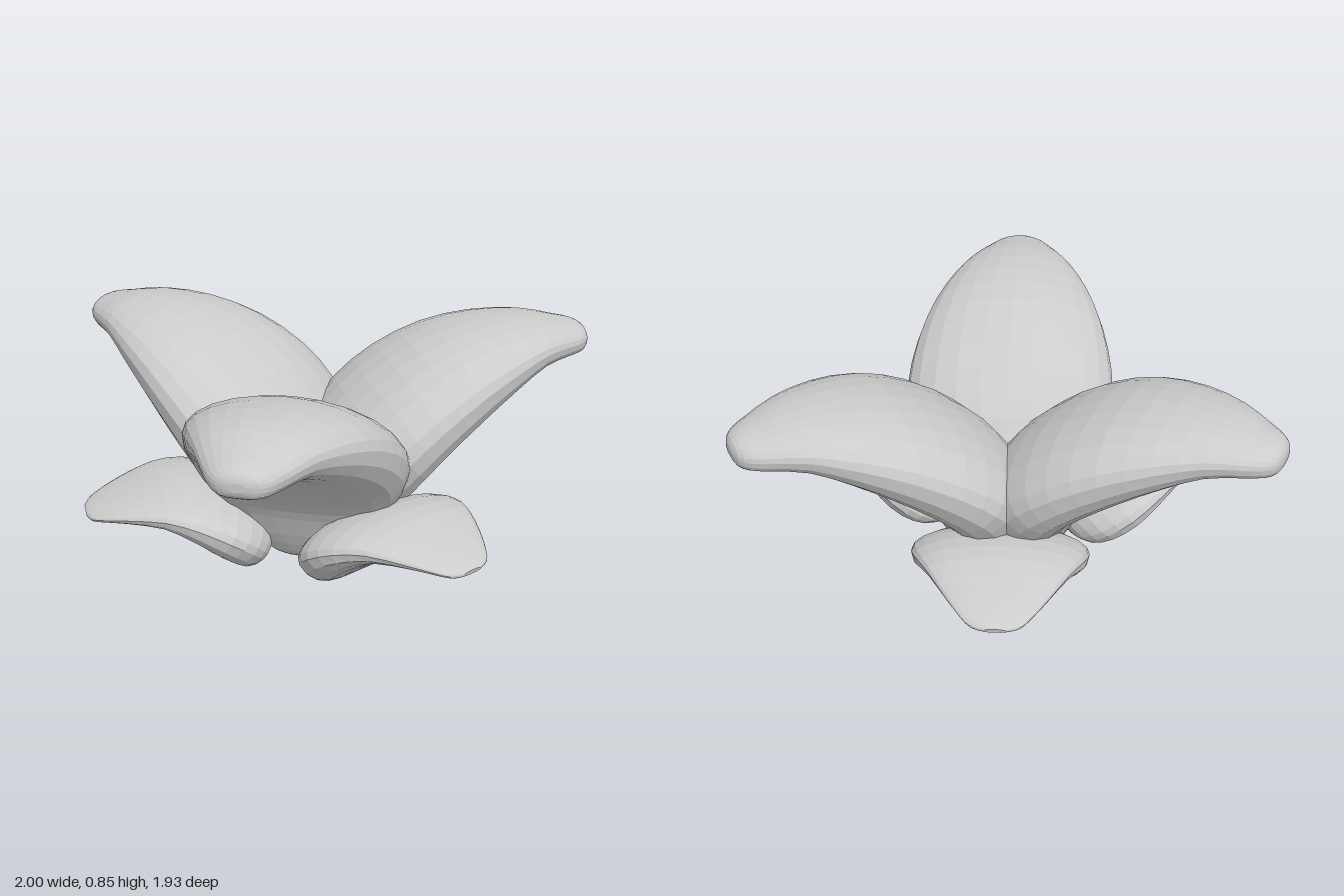
import * as THREE from 'three';

// Each station: [topR, topY, bottomR, bottomY, halfWidth], from the base to the tip
const PETAL = [
  [0.09, 0.025, 0.16, 0.018, 0.06],
  [0.05, 0.045, 0.2, 0.022, 0.13],
  [-0.01, 0.14, 0.24, 0.06, 0.2],
  [-0.02, 0.3, 0.29, 0.15, 0.3],
  [0.01, 0.46, 0.33, 0.24, 0.37],
  [0.13, 0.6, 0.38, 0.32, 0.41],
  [0.3, 0.725, 0.47, 0.41, 0.405],
  [0.5, 0.815, 0.6, 0.51, 0.365],
  [0.7, 0.852, 0.74, 0.6, 0.3],
  [0.88, 0.85, 0.88, 0.67, 0.22],
  [1.0, 0.825, 1.0, 0.685, 0.155],
  [1.065, 0.81, 1.065, 0.69, 0.115],
  [1.1, 0.79, 1.1, 0.705, 0.075],
  [1.112, 0.765, 1.112, 0.73, 0.03],
];
const SEPAL = [
  [0.23, 0.025, 0.25, 0.012, 0.06],
  [0.2, 0.05, 0.27, 0.004, 0.14],
  [0.18, 0.12, 0.31, 0.004, 0.23],
  [0.22, 0.2, 0.37, 0.045, 0.305],
  [0.32, 0.275, 0.45, 0.11, 0.34],
  [0.46, 0.325, 0.53, 0.17, 0.32],
  [0.6, 0.33, 0.62, 0.215, 0.265],
  [0.74, 0.295, 0.74, 0.225, 0.19],
  [0.83, 0.265, 0.825, 0.22, 0.13],
  [0.87, 0.248, 0.867, 0.215, 0.09],
  [0.888, 0.237, 0.885, 0.22, 0.04],
];

// Smooth loft of spoon-shaped cross-sections: domed above, flat or hollow below
function leafGeometry(stations, hollow, sides = 24) {
  const curve = (pick) => new THREE.CatmullRomCurve3(stations.map(pick), false, 'catmullrom', 0.5);
  const top = curve((s) => new THREE.Vector3(s[0], s[1], s[4]));
  const bottom = curve((s) => new THREE.Vector3(s[2], s[3], s[4]));
  const positions = [];
  const index = [];
  const steps = (stations.length - 1) * 2;
  const rows = steps + 2;
  for (let i = 0; i <= rows; i++) {
    const u = THREE.MathUtils.clamp((i - 1) / steps, 0, 1);
    const scale = i === 0 || i === rows ? 0 : 1; // collapsed rings close both ends
    const a = top.getPoint(u);
    const b = bottom.getPoint(u);
    for (let j = 0; j < sides; j++) {
      const angle = (j / sides) * Math.PI * 2;
      const s = Math.sin(angle);
      const v = scale * (s > 0 ? s : (s * (1 - hollow * s * s) * 0.97) / (1 - hollow));
      positions.push(
        (a.x + b.x) / 2 + ((a.x - b.x) / 2) * v,
        (a.y + b.y) / 2 + ((a.y - b.y) / 2) * v,
        scale * a.z * Math.cos(angle),
      );
    }
  }
  for (let i = 0; i < rows; i++) {
    for (let j = 0; j < sides; j++) {
      const k = (j + 1) % sides;
      const a = i * sides + j, b = a + sides;
      const c = i * sides + k, d = c + sides;
      index.push(a, b, c, c, b, d);
    }
  }
  const geometry = new THREE.BufferGeometry();
  geometry.setAttribute('position', new THREE.Float32BufferAttribute(positions, 3));
  geometry.setIndex(index);
  geometry.computeVertexNormals();
  return geometry;
}

export function createModel() {
  const model = new THREE.Group();
  model.name = 'flower';
  const material = new THREE.MeshStandardMaterial({ color: 0xcccccc, flatShading: true });

  // Leaves radiate from near the flower's centre: [degrees from +x towards +z, x, z]
  const ring = (name, geometry, places) => {
    const group = new THREE.Group();
    group.name = name + 's';
    places.forEach(([degrees, x, z], i) => {
      const leaf = new THREE.Mesh(geometry, material);
      leaf.name = name + (i + 1);
      leaf.position.set(x, 0, z);
      leaf.rotation.y = -THREE.MathUtils.degToRad(degrees);
      group.add(leaf);
    });
    model.add(group);
  };

  ring('upperPetal', leafGeometry(PETAL, 0.3), [
    [3, -0.113, -0.025],
    [122.3, -0.1, -0.01],
    [236.3, -0.1, -0.015],
  ]);
  ring('lowerSepal', leafGeometry(SEPAL, 0.38), [
    [68.5, -0.135, 0],
    [186.5, -0.118, -0.01],
    [301, -0.115, 0.02],
  ]);
  return model;
}
